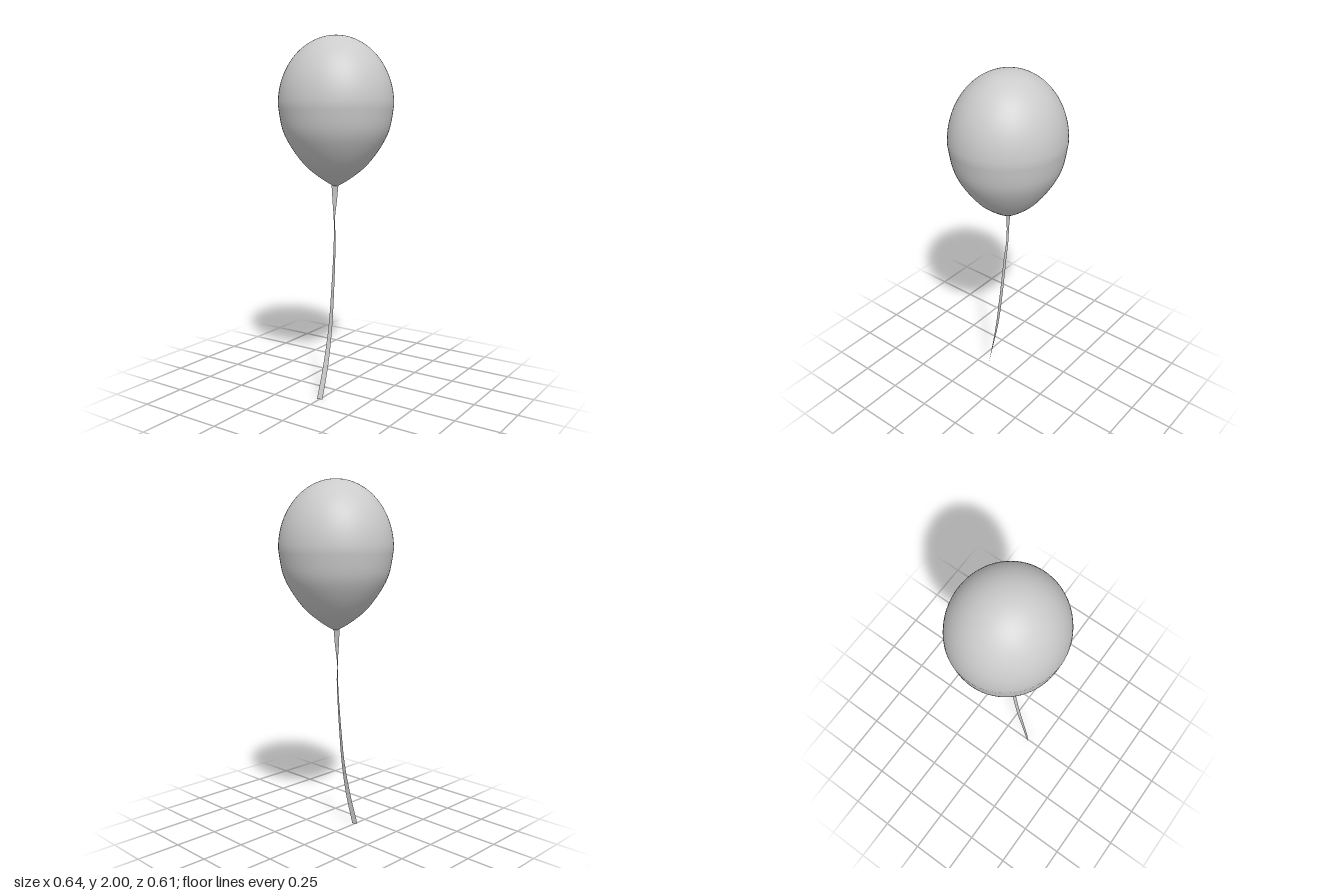
import * as THREE from 'three';

const material = new THREE.MeshStandardMaterial({ color: 0xcccccc });
const ribbonMaterial = new THREE.MeshStandardMaterial({ color: 0xcccccc, side: THREE.DoubleSide });

// Teardrop profile: a curve up from the tip, then a quarter ellipse over the crown
function balloonProfile() {
  const lower = new THREE.SplineCurve([
    [0.024, 1.194], [0.05, 1.208], [0.105, 1.245], [0.175, 1.304],
    [0.248, 1.4], [0.297, 1.5], [0.32, 1.63],
  ].map(([r, y]) => new THREE.Vector2(r, y)));
  const points = [new THREE.Vector2(0, 1.187), new THREE.Vector2(0.014, 1.188), ...lower.getPoints(28)];
  for (let i = 1; i <= 24; i++) {
    const a = (i / 24) * Math.PI / 2;
    points.push(new THREE.Vector2(i === 24 ? 0 : 0.32 * Math.cos(a), 1.63 + 0.37 * Math.sin(a)));
  }
  return points;
}

// Flat strip swept between two edge curves
function stripGeometry(edgeA, edgeB, segments) {
  const positions = [], indices = [];
  for (let i = 0; i <= segments; i++) {
    const t = i / segments;
    positions.push(...edgeA.getPoint(t).toArray(), ...edgeB.getPoint(t).toArray());
    if (i < segments) {
      const k = i * 2;
      indices.push(k, k + 2, k + 1, k + 1, k + 2, k + 3);
    }
  }
  const geometry = new THREE.BufferGeometry();
  geometry.setAttribute('position', new THREE.Float32BufferAttribute(positions, 3));
  geometry.setIndex(indices);
  geometry.computeVertexNormals();
  return geometry;
}

export function createModel() {
  const group = new THREE.Group();

  // Balloon, slightly narrower from front to back
  const balloon = new THREE.Mesh(new THREE.LatheGeometry(balloonProfile(), 64), material);
  balloon.name = 'balloon';
  balloon.scale.z = 0.305 / 0.32;
  group.add(balloon);

  // Ribbon stations: y, centre x, centre z, half width in x, half width in z
  const stations = [
    [1.2, -0.004, 0.002, 0.022, -0.002],
    [1.1, -0.004, 0.005, 0.013, -0.002],
    [1.0, -0.003, 0.01, 0.006, 0.003],
    [0.9, 0.005, 0.018, 0.008, 0.003],
    [0.8, 0.008, 0.027, 0.009, 0.003],
    [0.6, 0.011, 0.048, 0.011, 0.002],
    [0.4, 0.013, 0.074, 0.012, 0],
    [0.2, 0.011, 0.114, 0.013, -0.005],
    [0, 0.001, 0.163, 0.013, -0.008],
  ];
  const edge = (side) => new THREE.CatmullRomCurve3(stations.map(
    ([y, x, z, dx, dz]) => new THREE.Vector3(x + side * dx, y, z + side * dz)));
  const ribbon = new THREE.Mesh(stripGeometry(edge(-1), edge(1), 48), ribbonMaterial);
  ribbon.name = 'ribbon';
  group.add(ribbon);

  return group;
}
